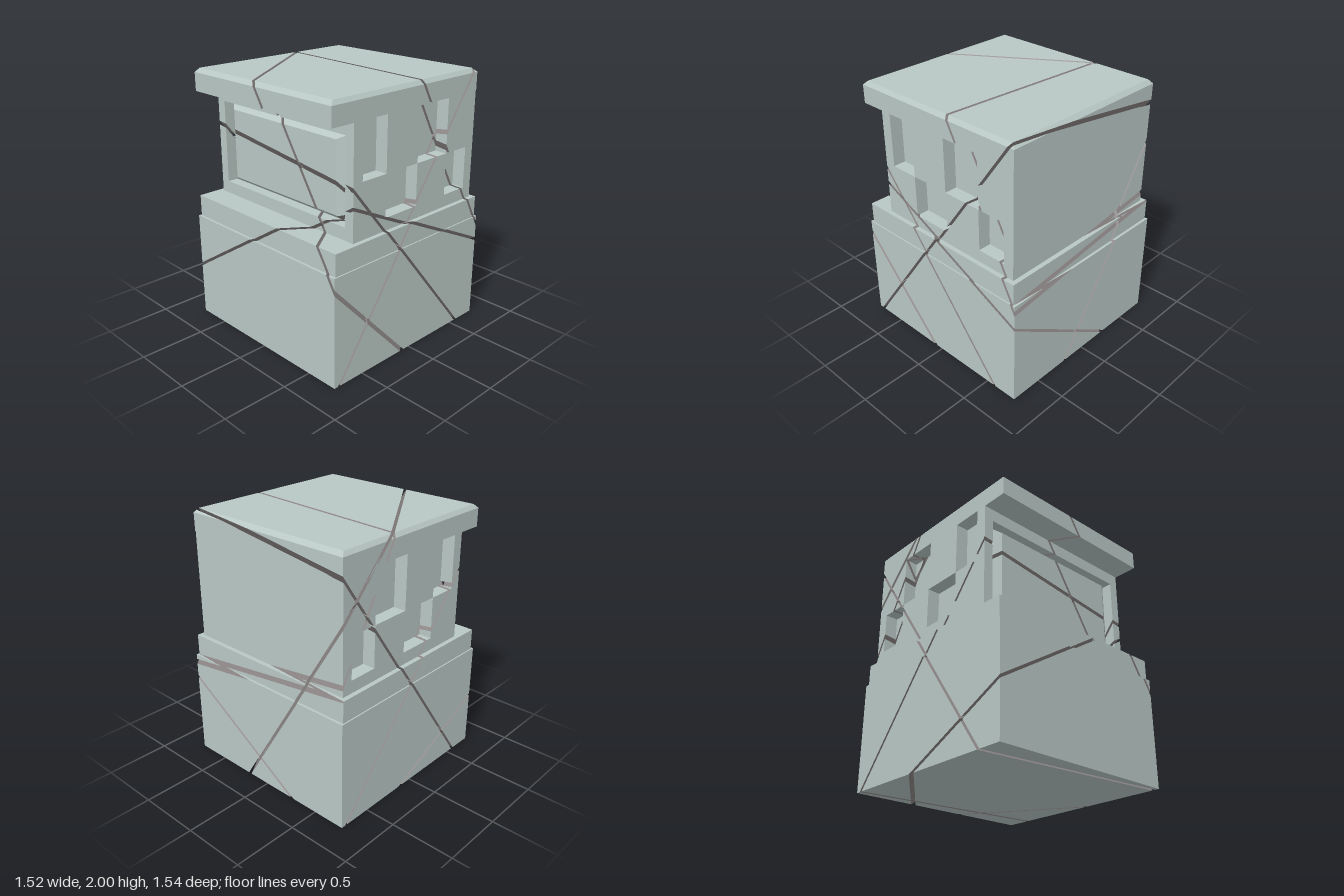
import * as THREE from 'three';

const V = (x, y, z) => new THREE.Vector3(x, y, z);
const GAP = 0.02; // width of every crack

// Crack planes through the whole block: normal and offset
const cracks = [
  [-0.633, 1, -0.478, 0.533],
  [1, 0.628, -0.665, 0.71],
  [-0.072, -0.545, 1, -1.25],
  [-0.14, 1, 1.41, 0.917],
  [0.122, 1, -1.22, 0.79],
].map(([x, y, z, d]) => {
  const n = V(x, y, z), len = n.length();
  return { n: n.divideScalar(len), d: d / len };
});

// Rectangular loops, facing +y and +z
const rectY = (x0, x1, z0, z1, y) => [V(x0, y, z1), V(x1, y, z1), V(x1, y, z0), V(x0, y, z0)];
const rectZ = (x0, x1, y0, y1, z) => [V(x0, y0, z), V(x1, y0, z), V(x1, y1, z), V(x0, y1, z)];

// Solid between two loops: a list of outward faces
function loft(a, b) {
  const faces = [b, [...a].reverse()];
  for (let i = 0; i < 4; i++) {
    const j = (i + 1) % 4;
    faces.push([a[i], a[j], b[j], b[i]]);
  }
  return faces.map((pts) => ({ pts, cut: false }));
}
const box = (x0, x1, y0, y1, z0, z1) => loft(rectY(x0, x1, z0, z1, y0), rectY(x0, x1, z0, z1, y1));

// Keep the side n.p <= d of a convex solid and cap the cut
function clip(solid, n, d) {
  const out = [], cap = [];
  for (const { pts, cut } of solid) {
    const kept = [];
    pts.forEach((p, i) => {
      const q = pts[(i + 1) % pts.length];
      const sp = n.dot(p) - d, sq = n.dot(q) - d;
      if (sp <= 0) kept.push(p);
      if ((sp <= 0) !== (sq <= 0)) {
        const m = p.clone().lerp(q, sp / (sp - sq));
        kept.push(m);
        cap.push(m);
      }
    });
    if (kept.length > 2) out.push({ pts: kept, cut });
  }
  if (cap.length > 2) {
    const c = cap.reduce((s, p) => s.add(p), V(0, 0, 0)).divideScalar(cap.length);
    const u = cap[0].clone().sub(c).normalize();
    const v = n.clone().cross(u);
    const angle = (p) => Math.atan2(p.clone().sub(c).dot(v), p.clone().sub(c).dot(u));
    cap.sort((p, q) => angle(p) - angle(q));
    const loop = cap.filter((p, i) => p.distanceTo(cap[(i + 1) % cap.length]) > 1e-6);
    if (loop.length > 2) out.push({ pts: loop, cut: true });
  }
  return out;
}

// Break a solid along every crack
function shatter(solid) {
  let pieces = [solid];
  for (const { n, d } of cracks) {
    pieces = pieces.flatMap((s) => [
      clip(s, n, d - GAP / 2),
      clip(s, n.clone().negate(), -d - GAP / 2),
    ]).filter((s) => s.length > 3);
  }
  return pieces;
}

export function createModel() {
  const model = new THREE.Group();
  model.name = 'crackedBlockHouse';
  const stone = new THREE.MeshStandardMaterial({ color: 0xb9c8c5 });
  const crackWall = new THREE.MeshStandardMaterial({ color: 0x8c8585 });

  function addPart(name, solids) {
    const faces = solids.flatMap(shatter).flat();
    const pos = [];
    const geo = new THREE.BufferGeometry();
    [false, true].forEach((cut, material) => {
      const start = pos.length / 3;
      for (const { pts } of faces.filter((f) => f.cut === cut)) {
        for (let i = 1; i < pts.length - 1; i++) {
          for (const p of [pts[0], pts[i], pts[i + 1]]) pos.push(p.x, p.y, p.z);
        }
      }
      geo.addGroup(start, pos.length / 3 - start, material);
    });
    geo.setAttribute('position', new THREE.Float32BufferAttribute(pos, 3));
    geo.computeVertexNormals();
    const mesh = new THREE.Mesh(geo, [stone, crackWall]);
    mesh.name = name;
    model.add(mesh);
  }

  // Plinth
  addPart('base', [box(-0.76, 0.76, 0, 0.84, -0.77, 0.77)]);
  addPart('step', [box(-0.75, 0.75, 0.84, 1.005, -0.75, 0.75)]);

  // Upper storey core
  const W = 0.715, IN = 0.615, BACK = -0.715, FRONT = 0.555, REC = 0.47;
  const Y0 = 1.005, Y1 = 1.83;
  addPart('upperCore', [box(-IN, IN, Y0, Y1, BACK, REC)]);

  // Side walls, leaving a checker of niches: [y0, y1, z0, z1]
  const wallBlocks = [
    [Y0, 1.1, BACK, REC],
    [1.1, 1.42, BACK, -0.63], [1.1, 1.42, -0.4, -0.08], [1.1, 1.42, 0.24, REC],
    [1.42, Y1, BACK, -0.4], [1.42, Y1, -0.08, 0.24],
  ];
  addPart('leftWall', wallBlocks.map((b) => box(IN, W, ...b)));
  addPart('rightWall', wallBlocks.map((b) => box(-W, -IN, ...b)));

  // Front frame around a recess with a raised, bevelled panel
  addPart('frontFrame', [
    box(-W, -0.64, Y0, Y1, REC, FRONT),
    box(0.64, W, Y0, Y1, REC, FRONT),
    box(-0.64, 0.64, Y0, 1.1, REC, FRONT),
    box(-0.64, 0.64, 1.735, Y1, REC, FRONT),
  ]);
  addPart('frontPanel', [
    loft(rectZ(-0.64, 0.64, 1.1, 1.735, REC), rectZ(-0.54, 0.54, 1.155, 1.685, 0.543)),
  ]);

  // Overhanging roof slab with a chamfered top edge
  addPart('roof', [
    box(-W, W, Y1, 1.97, -0.72, 0.75),
    loft(rectY(-W, W, -0.72, 0.75, 1.97), rectY(-0.692, 0.692, -0.69, 0.718, 2)),
  ]);
  return model;
}
